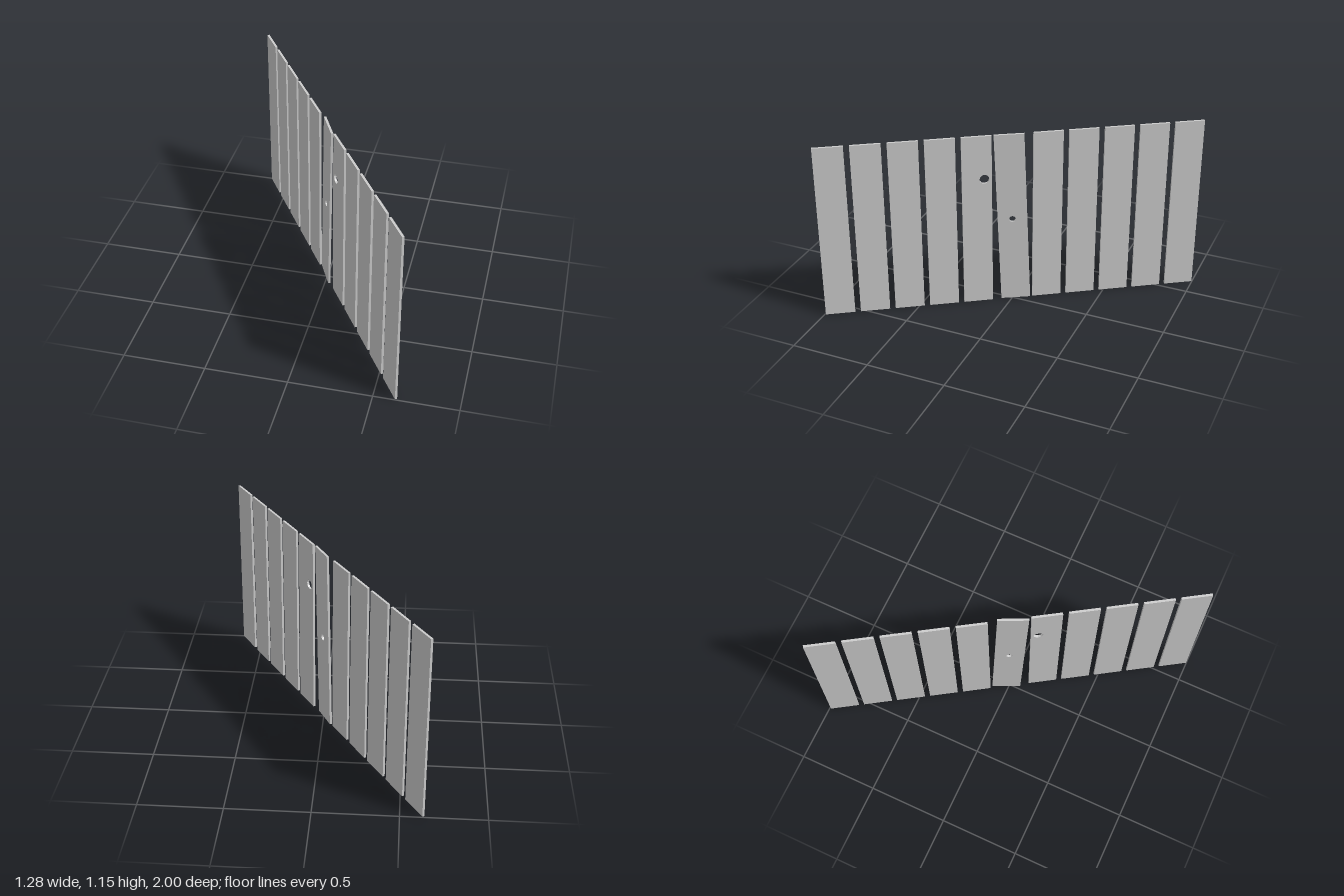
import * as THREE from 'three';

const WIDTH = 0.183, HEIGHT = 1.148, THICK = 0.014;
const PITCH_X = 0.117, PITCH_Z = 0.1835, MID_Y = 0.581;
const FENCE_YAW = -Math.atan2(PITCH_Z, PITCH_X);

const material = new THREE.MeshStandardMaterial({ color: 0xcccccc, flatShading: true });

// Flat board centred on its origin, with an optional round hole
function boardGeometry(hole) {
  const w = WIDTH / 2, h = HEIGHT / 2;
  const shape = new THREE.Shape([
    new THREE.Vector2(-w, -h), new THREE.Vector2(w, -h),
    new THREE.Vector2(w, h), new THREE.Vector2(-w, h),
  ]);
  if (hole) {
    const path = new THREE.Path();
    path.absarc(hole.x, hole.y, hole.r, 0, Math.PI * 2, true);
    shape.holes.push(path);
  }
  const geometry = new THREE.ExtrudeGeometry(shape, { depth: THICK, bevelEnabled: false, curveSegments: 6 });
  return geometry.translate(0, 0, -THICK / 2);
}

export function createModel() {
  const fence = new THREE.Group();
  fence.name = 'plankFence';

  const plain = boardGeometry();
  const holed = {
    0: boardGeometry({ x: 0, y: 0, r: 0.02 }),
    1: boardGeometry({ x: -0.046, y: 0.289, r: 0.03 }),
  };

  // Eleven upright planks along the diagonal
  for (let i = -5; i <= 5; i++) {
    const plank = new THREE.Mesh(holed[i] ?? plain, material);
    plank.name = i === 0 ? 'loosePlank' : i === 1 ? 'plankWithKnothole' : `plank${i + 6}`;
    plank.position.set(i * PITCH_X, MID_Y, i * PITCH_Z);
    plank.rotation.order = 'YXZ';
    plank.rotation.y = FENCE_YAW;
    // The middle plank leans and is twisted out of line
    if (i === 0) plank.rotation.set(-0.005, FENCE_YAW - 0.107, -0.037);
    fence.add(plank);
  }
  return fence;
}
